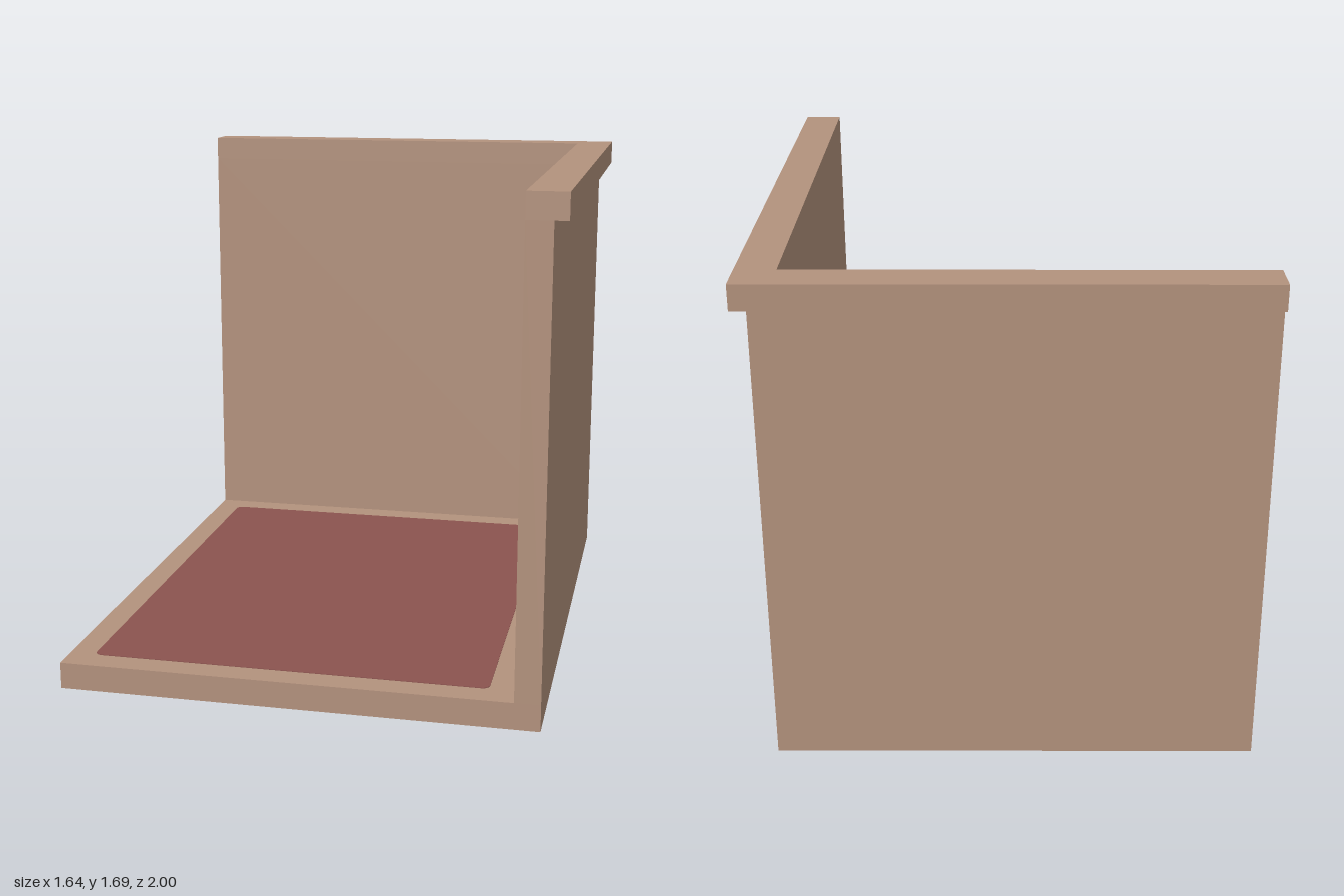
import * as THREE from 'three';

const plaster = new THREE.MeshStandardMaterial({ color: 0xb3927d });
plaster.name = 'tan plaster';
const cloth = new THREE.MeshStandardMaterial({ color: 0x8b534f });
cloth.name = 'dull red cloth';

// Plan limits of the room
const LEFT = -0.825, FRONT = 1, BACK = -0.955, RIGHT = 0.775;
const INNER_X = 0.69, INNER_Z = -0.87;
const FLOOR = 0.09, TRIM = 1.605, TOP = 1.69;

// Raises a plan drawn in (x, -z) from height y0 to y1
function raise(name, shape, y0, y1, material) {
  const geometry = new THREE.ExtrudeGeometry(shape, { depth: y1 - y0, bevelEnabled: false, curveSegments: 6 });
  geometry.rotateX(-Math.PI / 2);
  geometry.translate(0, y0, 0);
  const mesh = new THREE.Mesh(geometry, material);
  mesh.name = name;
  return mesh;
}

const plan = (points) => new THREE.Shape(points.map(([x, z]) => new THREE.Vector2(x, -z)));

// L-shaped plan along the back and the +x side
const cornerPlan = (outerX, outerZ) => plan([
  [LEFT, outerZ], [LEFT, INNER_Z], [INNER_X, INNER_Z],
  [INNER_X, FRONT], [outerX, FRONT], [outerX, outerZ],
]);

// Rectangle with rounded corners
function rugPlan(x0, x1, z0, z1, r) {
  const s = new THREE.Shape();
  s.absarc(x1 - r, -z0 - r, r, 0, Math.PI / 2);
  s.absarc(x0 + r, -z0 - r, r, Math.PI / 2, Math.PI);
  s.absarc(x0 + r, -z1 + r, r, Math.PI, Math.PI * 1.5);
  s.absarc(x1 - r, -z1 + r, r, Math.PI * 1.5, Math.PI * 2);
  s.closePath();
  return s;
}

export function createModel() {
  const room = new THREE.Group();
  room.name = 'room corner';
  const floorPlan = plan([[LEFT, BACK], [LEFT, FRONT], [RIGHT, FRONT], [RIGHT, BACK]]);
  room.add(
    raise('floor', floorPlan, 0, FLOOR, plaster),
    raise('walls', cornerPlan(RIGHT, BACK), FLOOR, TRIM, plaster),
    raise('topTrim', cornerPlan(0.82, -1), TRIM, TOP, plaster),
    raise('rug', rugPlan(-0.737, 0.6, -0.78, 0.91, 0.025), FLOOR, FLOOR + 0.002, cloth),
  );
  return room;
}
